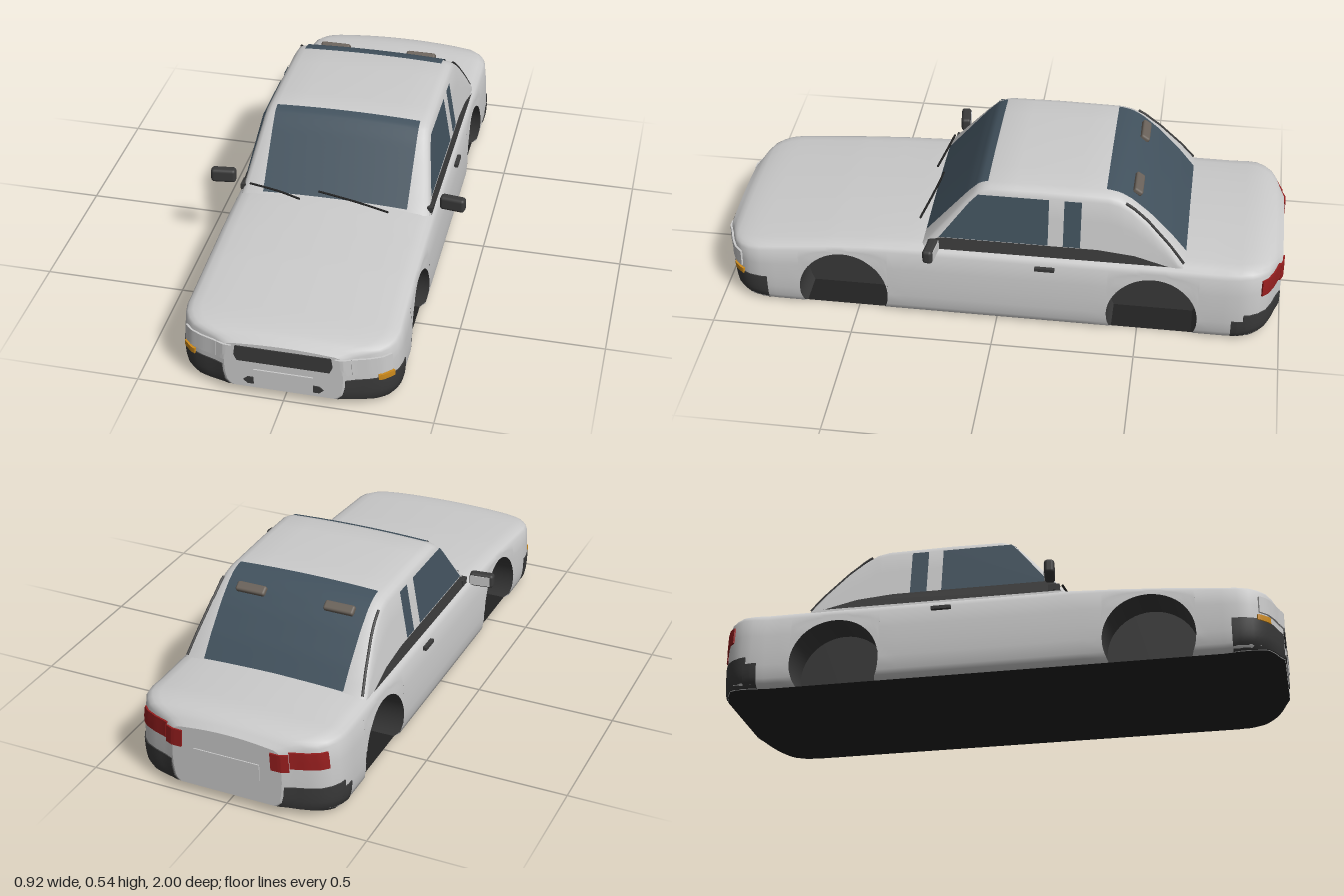
import * as THREE from 'three';
import { mergeGeometries, mergeVertices, toCreasedNormals } from 'three/addons/utils/BufferGeometryUtils.js';
import { RoundedBoxGeometry } from 'three/addons/geometries/RoundedBoxGeometry.js';

const paint = (color) => new THREE.MeshStandardMaterial({ color, side: THREE.DoubleSide });
const GREY = paint(0xcccccc), DARK = paint(0x3a3a3a), BLACK = paint(0x222222), GLASS = paint(0x42525e);
const RED = paint(0x961e1e), AMBER = paint(0xcc8a1c), BROWN = paint(0x6a625a);

// linear lookup in an ascending table of [key, value]
const lut = (table) => (v) => {
  let i = 1;
  while (i < table.length - 1 && v > table[i][0]) i++;
  const [a, p] = table[i - 1], [b, q] = table[i];
  return p + (q - p) * THREE.MathUtils.clamp((v - a) / (b - a), 0, 1);
};
const range = (a, b, n) => Array.from({ length: n + 1 }, (_, i) => a + (b - a) * i / n);

// surface through rows of points
function skin(rows) {
  const n = rows[0].length, index = [];
  for (let i = 0; i < rows.length - 1; i++)
    for (let j = 0; j < n - 1; j++) {
      const a = i * n + j, b = a + n;
      index.push(a, b, a + 1, b, b + 1, a + 1);
    }
  const g = new THREE.BufferGeometry();
  g.setAttribute('position', new THREE.Float32BufferAttribute(rows.flat(2), 3));
  g.setIndex(index);
  return g;
}
const smooth = (g, angle = 0.7) => toCreasedNormals(g, angle);
const mirrorX = (half) => [...half, ...half.slice(0, -1).reverse().map(([x, y, z]) => [-x, y, z])];

// lower body rules: plan corner, top line, underside and side tuck
const END = 0.994;
const PLAN = [[0, END], [0.2, END], [0.24, 0.977], [0.28, 0.964], [0.32, 0.945], [0.345, 0.92],
  [0.362, 0.89], [0.37, 0.85], [0.37, 0.7]];
const halfWidth = ((f) => (z) => f(Math.abs(z)))(lut(PLAN.slice(1).map(([x, z]) => [z, x]).reverse()));
const planX = lut(PLAN.map(([x, z]) => [x + END - z, x]));
const planZ = lut(PLAN.map(([x, z]) => [x + END - z, z]));
const top = lut([[-END, 0.262], [-0.96, 0.292], [-0.9, 0.306], [-0.6, 0.307], [0.25, 0.306], [0.6, 0.28],
  [0.9, 0.25], [0.96, 0.238], [END, 0.215]]);
const bottom = (z) => lut([[0.82, 0], [0.9, 0.008], [END, 0.035]])(Math.abs(z));
const shoulder = lut([[-END, 0.03], [-0.8, 0.05], [0.2, 0.05], [0.45, 0.035], [0.9, 0.03], [END, 0.02]]);
const tuck = lut([[0, 0.03], [0.012, 0.012], [0.05, 0.003], [0.1, 0], [0.2, 0.005], [0.25, 0.012]]);
const sideX = (z, y) => halfWidth(z) - tuck(y - bottom(z));
const ARCH = { z: 0.55, y: 0.075, r: 0.16 };

function bodySection(z, y0 = bottom(z)) {
  const d = shoulder(z), t = top(z), yS = t - d, half = [];
  const side = Math.sign(z), dz = Math.abs(z) - ARCH.z;
  for (const k of [0, 0.05, 0.12, 0.2, 0.31, 0.5, 0.75, 1]) {
    const y = y0 + (yS - y0) * k;
    let zz = z;
    if (Math.abs(Math.abs(dz) - ARCH.r) < 1e-6 && y < ARCH.y)
      zz = side * (ARCH.z + Math.sign(dz) * Math.sqrt(ARCH.r ** 2 - (y - ARCH.y) ** 2));
    half.push([sideX(z, y), y, zz]);
  }
  const x = sideX(z, yS);
  half.push([x - 0.008, t - 0.66 * d, z], [x - 0.025, t - 0.42 * d, z], [x - 0.055, t - 0.3 * d, z]);
  for (const k of [0.75, 0.5, 0.25, 0]) half.push([(x - 0.055) * k, t - 0.3 * d * k * k, z]);
  return mirrorX(half);
}

// cabin rules
const roof = lut([[-0.66, 0.295], [-0.6, 0.37], [-0.52, 0.455], [-0.46, 0.506], [-0.42, 0.529], [-0.38, 0.538],
  [-0.15, 0.541], [0.03, 0.538], [0.07, 0.525], [0.11, 0.485], [0.27, 0.295]]);
const cabinX = lut([[0.28, 0.341], [0.3, 0.337], [0.48, 0.303], [0.55, 0.297]]);
const crown = (x) => 0.007 * (x / 0.26) ** 2;
function cabinSection(z) {
  const h = roof(z), yS = Math.max(0.27, h - 0.035), x = cabinX(yS), half = [];
  for (const k of [0, 0.33, 0.67, 1]) { const y = 0.27 + (yS - 0.27) * k; half.push([cabinX(y), y, z]); }
  half.push([x - 0.01, Math.max(0.275, h - 0.018), z], [x - 0.022, h - 0.011, z]);
  for (const k of [0.26, 0.17, 0.08, 0]) half.push([k, h - crown(k), z]);
  return mirrorX(half);
}

// raised pad wrapped round a body corner, between two distances along the plan
function cornerPad(s0, s1, y0, y1, off, sx, sz) {
  const us = range(s0, s1, 12), vs = range(0, 1, 5);
  const rows = [s0, ...us, s1].map((s, i, A) => {
    const tx = planX(s + 0.015) - planX(s - 0.015), tz = planZ(s + 0.015) - planZ(s - 0.015);
    const len = Math.hypot(tx, tz) || 1, z = planZ(s), lo = Math.max(y0, bottom(z) + 0.002);
    return [0, ...vs, 1].map((v, j, B) => {
      const rim = i === 0 || j === 0 || i === A.length - 1 || j === B.length - 1;
      const o = rim ? -0.012 : off, y = lo + (y1 - lo) * v;
      return [sx * (planX(s) - tuck(y - bottom(z)) - tz / len * o), y, sz * (z + tx / len * o)];
    });
  });
  return smooth(skin(rows), 0.6);
}

// flat outline given in (z, y), laid on the cabin side
function sidePanel(points, sx, off) {
  const g = new THREE.ShapeGeometry(new THREE.Shape(points.map(([z, y]) => new THREE.Vector2(z, y))));
  const p = g.attributes.position;
  for (let i = 0; i < p.count; i++) p.setXYZ(i, sx * (cabinX(p.getY(i)) + off), p.getY(i), p.getX(i));
  g.computeVertexNormals();
  return g;
}
const rod = (pts, r) => new THREE.TubeGeometry(
  new THREE.CatmullRomCurve3(pts.map((p) => new THREE.Vector3(...p))), 16, r, 6);

export function createModel() {
  const car = new THREE.Group();
  car.name = 'car';
  const add = (name, geometry, material, pos = [0, 0, 0], rot = [0, 0, 0]) => {
    const m = new THREE.Mesh(geometry, material);
    m.name = name;
    m.position.set(...pos);
    m.rotation.set(...rot);
    car.add(m);
    return m;
  };
  const box = (name, size, material, pos, rot) => add(name, new THREE.BoxGeometry(...size), material, pos, rot);

  // body shell, open at the wheel arches
  const front = [END, 0.986, 0.977, 0.964, 0.945, 0.92, 0.89, 0.85, 0.8, 0.75, ARCH.z + ARCH.r];
  const inner = ARCH.z - ARCH.r;
  const archStrip = (zc) => range(0, Math.PI, 24).map((a) =>
    bodySection(zc + ARCH.r * Math.cos(a), ARCH.y + ARCH.r * Math.sin(a)));
  const shell = mergeGeometries([
    skin(front.map((z) => bodySection(z))), skin(archStrip(ARCH.z)),
    skin(range(inner, -inner, 12).map((z) => bodySection(z))), skin(archStrip(-ARCH.z)),
    skin([...front].reverse().map((z) => bodySection(-z)))]);
  add('bodyShell', smooth(mergeVertices(shell, 1e-4), 0.9), GREY);
  for (const z of [END, -END]) {
    const rim = bodySection(z);
    add(z > 0 ? 'nosePanel' : 'tailPanel', smooth(skin([rim, rim.map(() => [0, bottom(z), z])])), GREY);
  }
  const floorZ = [...front, ...range(0.6, -0.6, 12), ...[...front].reverse().map((z) => -z)];
  add('floor', smooth(skin(floorZ.map((z) =>
    range(-1, 1, 8).map((k) => [k * sideX(z, bottom(z)), bottom(z), z])))), BLACK);

  // cabin and end windows
  const cabinZ = [0.27, 0.23, 0.19, 0.15, 0.11, 0.09, 0.07, 0.05, 0.03, -0.06, -0.15, -0.27, -0.38, -0.4, -0.42,
    -0.44, -0.46, -0.49, -0.52, -0.56, -0.6, -0.63, -0.66];
  add('cabin', smooth(skin(cabinZ.map(cabinSection)), 0.9), GREY);
  const glass = (name, z0, z1) => add(name, smooth(skin(range(z0, z1, 20).map((z) =>
    range(-0.26, 0.26, 12).map((x) => [x, roof(z) - crown(x) + 0.005, z])))), GLASS);
  glass('windscreen', 0.262, 0.04);
  glass('rearWindow', -0.37, -0.655);

  // nose details
  const grille = new THREE.Shape([[-0.155, 0.142], [0.155, 0.142], [0.165, 0.165], [0.16, 0.2], [-0.16, 0.2],
    [-0.165, 0.165]].map((p) => new THREE.Vector2(...p)));
  add('grille', new THREE.ExtrudeGeometry(grille, { depth: 0.012, bevelEnabled: false }), DARK, [0, 0, END - 0.008]);
  box('frontPlate', [0.2, 0.05, 0.01], GREY, [0, 0.087, END]);
  box('rearPlate', [0.24, 0.06, 0.008], GREY, [0, 0.15, -END]);

  for (const s of [1, -1]) {
    const side = s > 0 ? 'left' : 'right';
    // wheel arch linings
    for (const zc of [ARCH.z, -ARCH.z]) {
      const a0 = Math.asin(ARCH.y / ARCH.r);
      const arc = range(-a0, Math.PI + a0, 32).map((a) =>
        [Math.max(0, ARCH.y + ARCH.r * Math.sin(a)), zc + ARCH.r * Math.cos(a)]);
      add(side + (zc > 0 ? 'FrontArch' : 'RearArch'), smooth(skin([
        arc.map(([y, z]) => [s * sideX(z, y), y, z]), arc.map(([y, z]) => [s * 0.22, y, z]),
        arc.map(() => [s * 0.22, 0, zc])])), DARK);
    }
    // side glass, belt trim and rear pillar trim
    add(side + 'DoorWindow', sidePanel([[0.205, 0.33], [0.1, 0.47], [0.07, 0.503], [-0.177, 0.503],
      [-0.177, 0.33]], s, 0.004), GLASS);
    add(side + 'QuarterWindow', sidePanel([[-0.23, 0.33], [-0.23, 0.503], [-0.29, 0.503], [-0.29, 0.33]], s, 0.004), GLASS);
    add(side + 'BeltTrim', sidePanel([[0.25, 0.285], [0.23, 0.32], [0.2, 0.33], [-0.35, 0.33], [-0.48, 0.318],
      [-0.6, 0.287]], s, 0.006), DARK);
    add(side + 'PillarTrim', rod(range(-0.44, -0.65, 8).map((z) =>
      [s * (cabinX(roof(z)) - 0.008), roof(z) - 0.013, z]), 0.005), DARK);
    // lamps and bumper corners
    add(side + 'HeadlampInner', cornerPad(0.175, 0.235, 0.14, 0.2, 0.006, s, 1), GREY);
    add(side + 'HeadlampOuter', cornerPad(0.238, 0.42, 0.14, 0.2, 0.007, s, 1), GREY);
    add(side + 'FrontBumper', cornerPad(0.21, 0.535, 0, 0.115, 0.004, s, 1), DARK);
    add(side + 'Indicator', cornerPad(0.35, 0.43, 0.11, 0.13, 0.008, s, 1), AMBER);
    add(side + 'TailLampInner', cornerPad(0.165, 0.235, 0.175, 0.238, 0.006, s, -1), RED);
    add(side + 'TailLampOuter', cornerPad(0.238, 0.41, 0.188, 0.248, 0.006, s, -1), RED);
    add(side + 'RearBumper', cornerPad(0.21, 0.49, 0, 0.115, 0.004, s, -1), DARK);
    add(side + 'RearBumperEnd', cornerPad(0.48, 0.535, 0, 0.088, 0.004, s, -1), DARK);
    const slot = new THREE.Shape([[0.1, 0.052], [0.12, 0.052], [0.135, 0.065], [0.12, 0.078], [0.1, 0.078]]
      .map(([x, y]) => new THREE.Vector2(s * x, y)));
    add(side + 'BumperSlot', new THREE.ExtrudeGeometry(slot, { depth: 0.01, bevelEnabled: false }), DARK, [0, 0, END - 0.006]);
    // mirror, handle and rear window vent
    add(side + 'Mirror', new RoundedBoxGeometry(0.09, 0.052, 0.036, 3, 0.012), DARK, [s * 0.415, 0.327, 0.222], [0, s * -0.12, 0]);
    box(side + 'MirrorGlass', [0.072, 0.036, 0.004], GREY, [s * 0.413, 0.327, 0.204], [0, s * -0.12, 0]);
    box(side + 'MirrorBase', [0.02, 0.022, 0.04], DARK, [s * 0.337, 0.3, 0.225]);
    box(side + 'DoorHandle', [0.014, 0.012, 0.07], DARK, [s * 0.366, 0.247, -0.17]);
    add(side + 'Vent', new RoundedBoxGeometry(0.11, 0.022, 0.036, 2, 0.008), BROWN, [s * 0.165, roof(-0.475) + 0.008, -0.475], [-0.6, 0, 0]);
  }

  // wipers
  add('rightWiper', rod([[-0.31, 0.322, 0.25], [-0.2, 0.316, 0.268], [-0.12, 0.306, 0.285]], 0.004), BLACK);
  add('leftWiper', rod([[-0.06, 0.324, 0.25], [0.08, 0.315, 0.272], [0.2, 0.304, 0.295]], 0.004), BLACK);
  return car;
}
